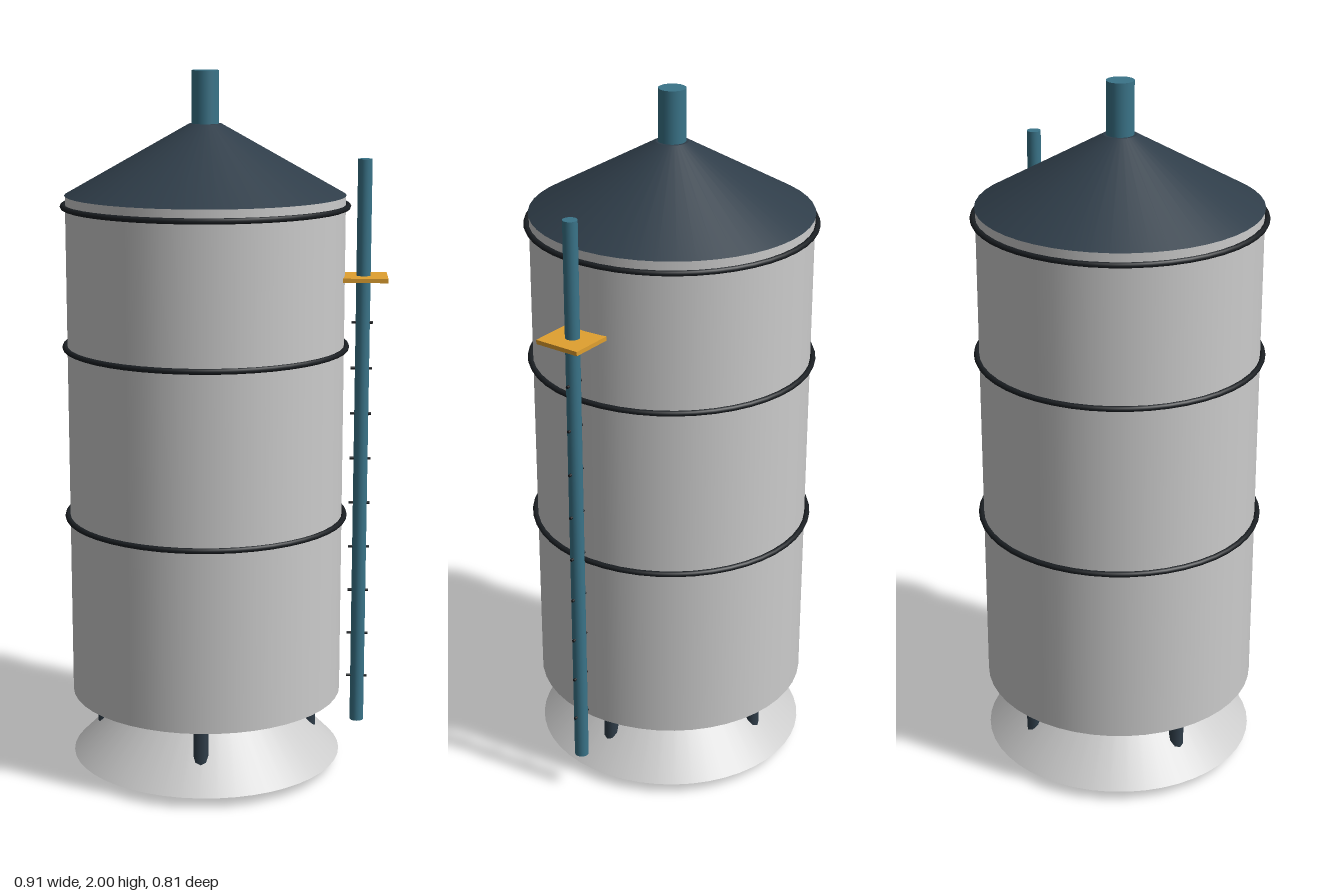
import * as THREE from 'three';

const mat = (color) => new THREE.MeshStandardMaterial({ color });
const SEG = 48;

export function createModel() {
  const model = new THREE.Group();
  const grey = mat(0xcccccc), slate = mat(0x2f3d49), black = mat(0x1b1f23);
  const teal = mat(0x3a7489), amber = mat(0xe0a030);

  const add = (parent, name, geometry, material, x = 0, y = 0, z = 0) => {
    const mesh = new THREE.Mesh(geometry, material);
    mesh.name = name;
    mesh.position.set(x, y, z);
    parent.add(mesh);
    return mesh;
  };
  // Upright cylinder or frustum given by its bottom and top heights
  const column = (parent, name, rTop, rBottom, y0, y1, material, seg = SEG, x = 0, z = 0) =>
    add(parent, name, new THREE.CylinderGeometry(rTop, rBottom, y1 - y0, seg), material, x, (y0 + y1) / 2, z);

  // Tank, offset so the whole model with its side pipe is centred
  const tank = new THREE.Group();
  tank.name = 'tank';
  tank.position.x = -0.052;
  model.add(tank);
  column(tank, 'tankBody', 0.39, 0.39, 0.22, 1.66, grey);
  column(tank, 'coneRoof', 0.045, 0.392, 1.66, 1.855, slate);
  column(tank, 'roofVent', 0.038, 0.038, 1.85, 2, teal, 24);
  column(tank, 'flaredBase', 0.195, 0.39, 0.03, 0.225, grey);

  // Hoops around the body
  for (const y of [0.745, 1.235, 1.63]) {
    add(tank, 'hoop', new THREE.TorusGeometry(0.397, 0.008, 8, SEG), black, 0, y).rotation.x = Math.PI / 2;
  }

  // Four legs
  for (let i = 0; i < 4; i++) {
    const a = (i * Math.PI) / 2;
    column(tank, 'leg', 0.021, 0.021, 0, 0.225, slate, 8, 0.3 * Math.cos(a), 0.3 * Math.sin(a));
  }

  // Side pipe with short rungs and a small platform
  const side = new THREE.Group();
  side.name = 'sidePipe';
  side.position.x = 0.39;
  model.add(side);
  column(side, 'pipe', 0.02, 0.02, 0.12, 1.76, teal, 16);
  add(side, 'platform', new THREE.BoxGeometry(0.134, 0.012, 0.134), amber, 0, 1.43);
  for (let i = 0; i < 9; i++) {
    const rung = add(side, 'rung', new THREE.CylinderGeometry(0.004, 0.004, 0.06, 8), black, 0, 0.255 + i * 0.131);
    rung.rotation.z = Math.PI / 2;
    rung.position.x = -0.002;
  }
  return model;
}
